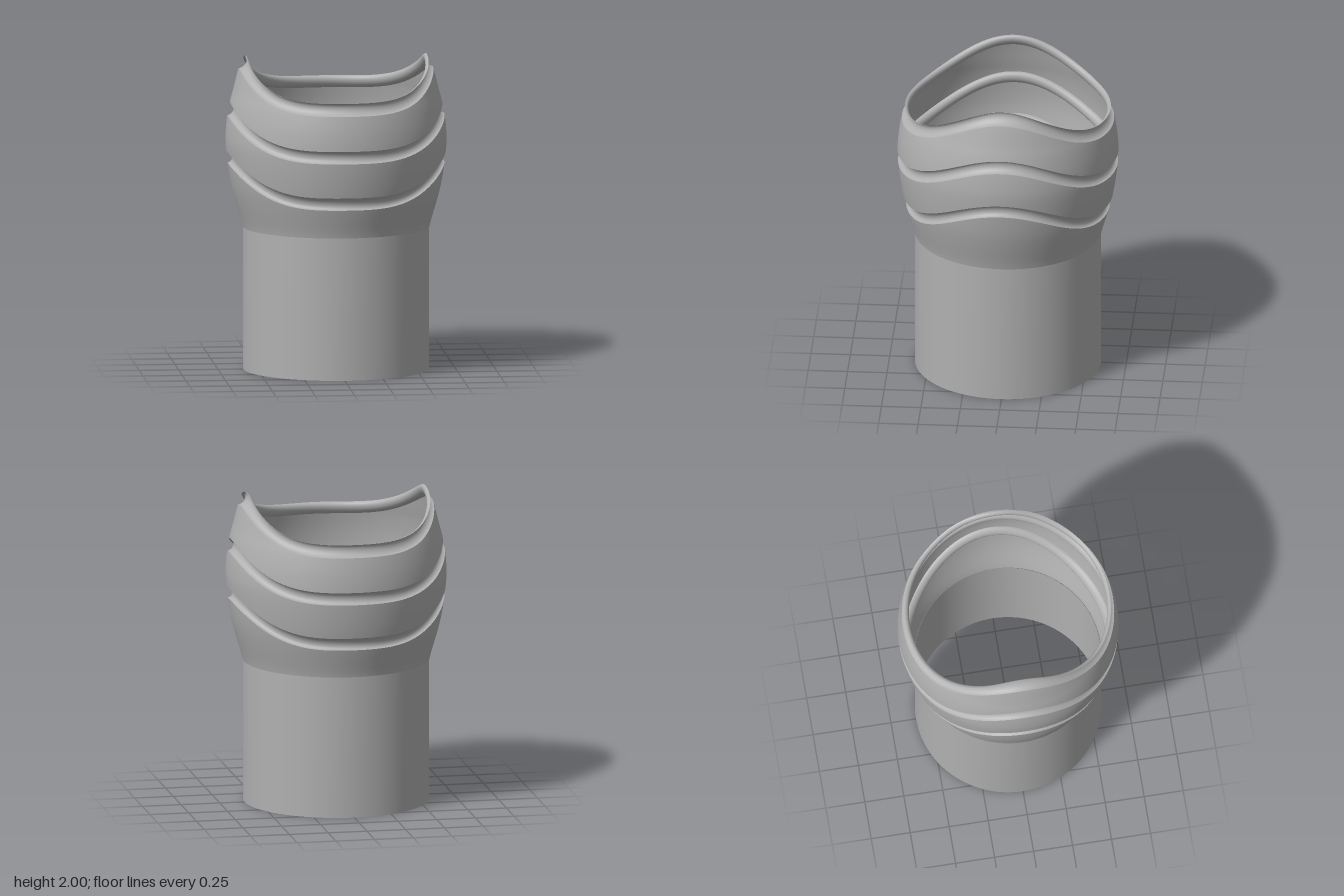
import * as THREE from 'three';

const SEGMENTS = 128;

// Outer radius of the swelling collar as a smooth function of height.
const profile = new THREE.SplineCurve([
  [0.59, 0.9], [0.602, 0.95], [0.64, 1.08], [0.665, 1.18], [0.685, 1.3], [0.698, 1.42],
  [0.699, 1.5], [0.69, 1.6], [0.672, 1.7], [0.651, 1.78], [0.612, 1.93], [0.578, 2.0],
].map(([r, y]) => new THREE.Vector2(r, y)));
const samples = profile.getPoints(220);

function radiusAt(y) {
  if (y <= samples[0].y) return 0.59;
  for (let i = 1; i < samples.length; i++) {
    const a = samples[i - 1], b = samples[i];
    if (y <= b.y) return a.x + (b.x - a.x) * (y - a.y) / (b.y - a.y);
  }
  return samples[samples.length - 1].x;
}

// Closed ring of skin; point(t, angle) gives [radius, height], t running upward.
function ringSkin(rows, point) {
  const positions = [], indices = [];
  for (let j = 0; j <= rows; j++) {
    for (let i = 0; i < SEGMENTS; i++) {
      const a = (i / SEGMENTS) * Math.PI * 2;
      const [r, y] = point(j / rows, a);
      positions.push(r * Math.cos(a), y, r * Math.sin(a));
      if (j === rows) continue;
      const k = (i + 1) % SEGMENTS;
      const p = j * SEGMENTS + i, q = j * SEGMENTS + k;
      indices.push(p, p + SEGMENTS, q, q, p + SEGMENTS, q + SEGMENTS);
    }
  }
  const geometry = new THREE.BufferGeometry();
  geometry.setAttribute('position', new THREE.Float32BufferAttribute(positions, 3));
  geometry.setIndex(indices);
  geometry.computeVertexNormals();
  return geometry;
}

// Saddle wave: high at both sides, low at front and back.
const wave = (a) => 0.222 * Math.cos(a) ** 4;

export function createModel() {
  const group = new THREE.Group();
  group.name = 'wavyCollarTube';
  const grey = new THREE.MeshStandardMaterial({ color: 0xb0b0b0, side: THREE.DoubleSide });
  grey.name = 'grey';

  const add = (name, geometry) => {
    const mesh = new THREE.Mesh(geometry, grey);
    mesh.name = name;
    group.add(mesh);
  };

  // Straight open pipe
  add('pipe', ringSkin(1, (t) => [0.59, t * 0.91]));

  // Collar walls, each ending in a wavy concave groove
  const grooveTops = [1.175, 1.478, 1.778];
  const grooveHeight = 0.08;
  grooveTops.forEach((top, n) => {
    const wallStart = (a) => (n === 0 ? 0.91 : grooveTops[n - 1] + wave(a));
    const wallEnd = (a) => top - grooveHeight + wave(a);

    add(`collarWall${n + 1}`, ringSkin(14, (t, a) => {
      const y = THREE.MathUtils.lerp(wallStart(a), wallEnd(a), t);
      return [radiusAt(y), y];
    }));

    add(`groove${n + 1}`, ringSkin(12, (t, a) => {
      const low = wallEnd(a), high = low + grooveHeight;
      const s = (1 - Math.cos(t * Math.PI)) / 2;
      const chord = THREE.MathUtils.lerp(radiusAt(low), radiusAt(high), s);
      return [chord - 0.033 * Math.sin(t * Math.PI), low + grooveHeight * s];
    }));
  });

  return group;
}
